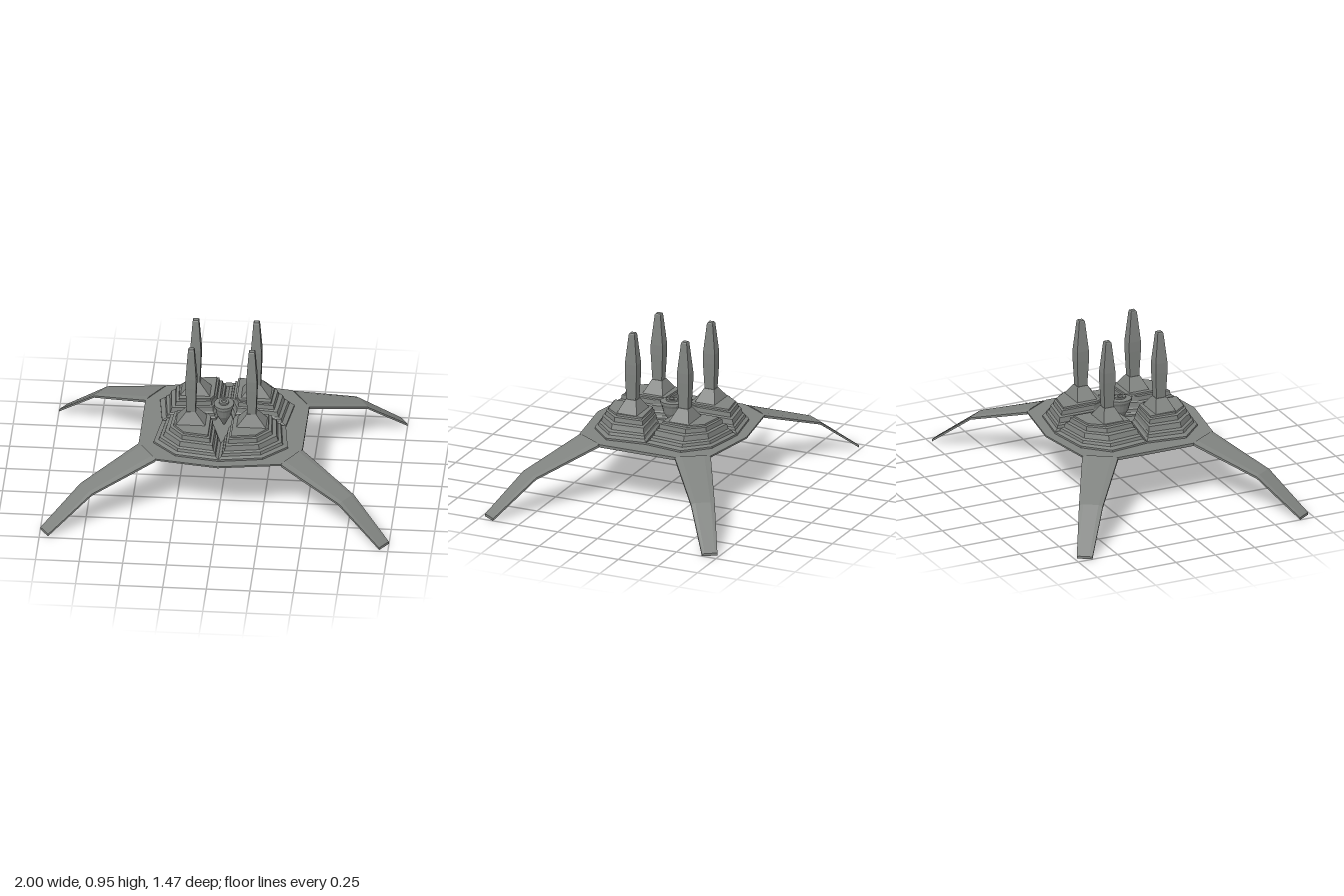
import * as THREE from 'three';

const hull = new THREE.MeshStandardMaterial({ color: 0x808380, flatShading: true });
hull.name = 'hull grey';

// Closed faceted solid through equal-length rings of [x, y, z]; winding is made outward
function loft(name, rings) {
  const tris = [];
  const n = rings[0].length;
  for (let k = 0; k < rings.length - 1; k++) {
    const p = rings[k], q = rings[k + 1];
    for (let i = 0; i < n; i++) {
      const j = (i + 1) % n;
      tris.push([p[i], q[i], q[j]], [p[i], q[j], p[j]]);
    }
  }
  const first = rings[0], last = rings[rings.length - 1];
  for (let j = 1; j < n - 1; j++) {
    tris.push([first[0], first[j], first[j + 1]], [last[0], last[j + 1], last[j]]);
  }
  const v = (a) => new THREE.Vector3(...a);
  let volume = 0;
  for (const [a, b, c] of tris) volume += v(a).dot(v(b).cross(v(c)));
  const flat = tris.flatMap(([a, b, c]) => (volume < 0 ? [a, c, b] : [a, b, c])).flat();
  const geo = new THREE.BufferGeometry();
  geo.setAttribute('position', new THREE.Float32BufferAttribute(flat, 3));
  geo.computeVertexNormals();
  const mesh = new THREE.Mesh(geo, hull);
  mesh.name = name;
  return mesh;
}

const mix = (a, b, t) => a + (b - a) * t;
const mirror = (rings, sx, sz) => rings.map((r) => r.map(([x, y, z]) => [x * sx, y, z * sz]));

// Thin deck with an underside that rises towards front and back
function deck() {
  const ring = (y, cz, dz, ez) => [
    [0.47, y, -cz], [0.47, y, cz], [0.36, y, dz], [0, y, ez], [-0.36, y, dz],
    [-0.47, y, cz], [-0.47, y, -cz], [-0.36, y, -dz], [0, y, -ez], [0.36, y, -dz],
  ];
  return loft('deck', [ring(0.335, 0.235, 0.29, 0.31), ring(0.342, 0.24, 0.415, 0.472), ring(0.352, 0.24, 0.415, 0.472)]);
}

// Bent leg with a raised band along its top
function leg(sx, sz) {
  // inner edge A (x, z), outer edge B (x, z), bottom, top, ridge height
  const stations = [
    [0.47, 0.24, 0.36, 0.415, 0.335, 0.349, 0.008],
    [0.785, 0.49, 0.71, 0.605, 0.203, 0.215, 0.007],
    [1.0, 0.66, 0.95, 0.735, 0, 0.013, 0.002],
  ];
  const rings = stations.map(([ax, az, bx, bz, lo, hi, ridge]) => {
    const at = (t, y) => [mix(ax, bx, t), y, mix(az, bz, t)];
    return [at(0, lo), at(0, hi), at(0.18, hi + ridge), at(0.82, hi + ridge), at(1, hi), at(1, lo)];
  });
  return loft('leg', mirror(rings, sx, sz));
}

// Stepped quarter of the superstructure, narrowing from foot to roof
function terrace(sx, sz) {
  const foot = [[0.05, 0.05], [0.355, 0], [0.385, 0.235], [0.25, 0.37], [0, 0.413], [0, 0.23]];
  const roof = [[0.09, 0.085], [0.25, 0.075], [0.255, 0.22], [0.2, 0.295], [0.075, 0.315], [0.075, 0.1]];
  const steps = [
    [0, 0.34], [0, 0.363], [0.22, 0.373], [0.27, 0.39], [0.42, 0.398], [0.5, 0.428],
    [0.68, 0.434], [0.72, 0.46], [0.86, 0.464], [0.88, 0.474], [1, 0.475],
  ];
  const rings = steps.map(([t, y]) => foot.map(([x, z], i) => [mix(x, roof[i][0], t), y, mix(z, roof[i][1], t)]));
  return loft('terrace', mirror(rings, sx, sz));
}

// Flared plinth and tall tapered spire
function spire(sx, sz) {
  const square = (hx, hz, y) => [[1, -1], [1, 1], [-1, 1], [-1, -1]].map(([x, z]) => [0.174 + x * hx, y, 0.165 + z * hz]);
  const group = new THREE.Group();
  group.name = 'spire';
  group.add(loft('plinth', mirror([square(0.088, 0.065, 0.47), square(0.027, 0.032, 0.545)], sx, sz)));
  group.add(loft('tower', mirror([
    square(0.025, 0.029, 0.54), square(0.031, 0.037, 0.7), square(0.031, 0.037, 0.76),
    square(0.018, 0.018, 0.94), square(0.014, 0.014, 0.947),
  ], sx, sz)));
  return group;
}

// Oval turret in the central hollow
function turret() {
  const profile = [
    [0, 0.35], [0.012, 0.365], [0.05, 0.425], [0.06, 0.465], [0.07, 0.482], [0.07, 0.496],
    [0.035, 0.5], [0.035, 0.51], [0.018, 0.51], [0.014, 0.504], [0, 0.504],
  ].map(([r, y]) => new THREE.Vector2(r, y));
  const geo = new THREE.LatheGeometry(profile, 16);
  geo.scale(0.82, 1, 1);
  const mesh = new THREE.Mesh(geo, hull);
  mesh.name = 'turret';
  return mesh;
}

export function createModel() {
  const model = new THREE.Group();
  model.name = 'stationPlatform';
  model.add(deck(), turret());
  for (const sx of [1, -1]) {
    for (const sz of [1, -1]) model.add(leg(sx, sz), terrace(sx, sz), spire(sx, sz));
  }
  return model;
}
